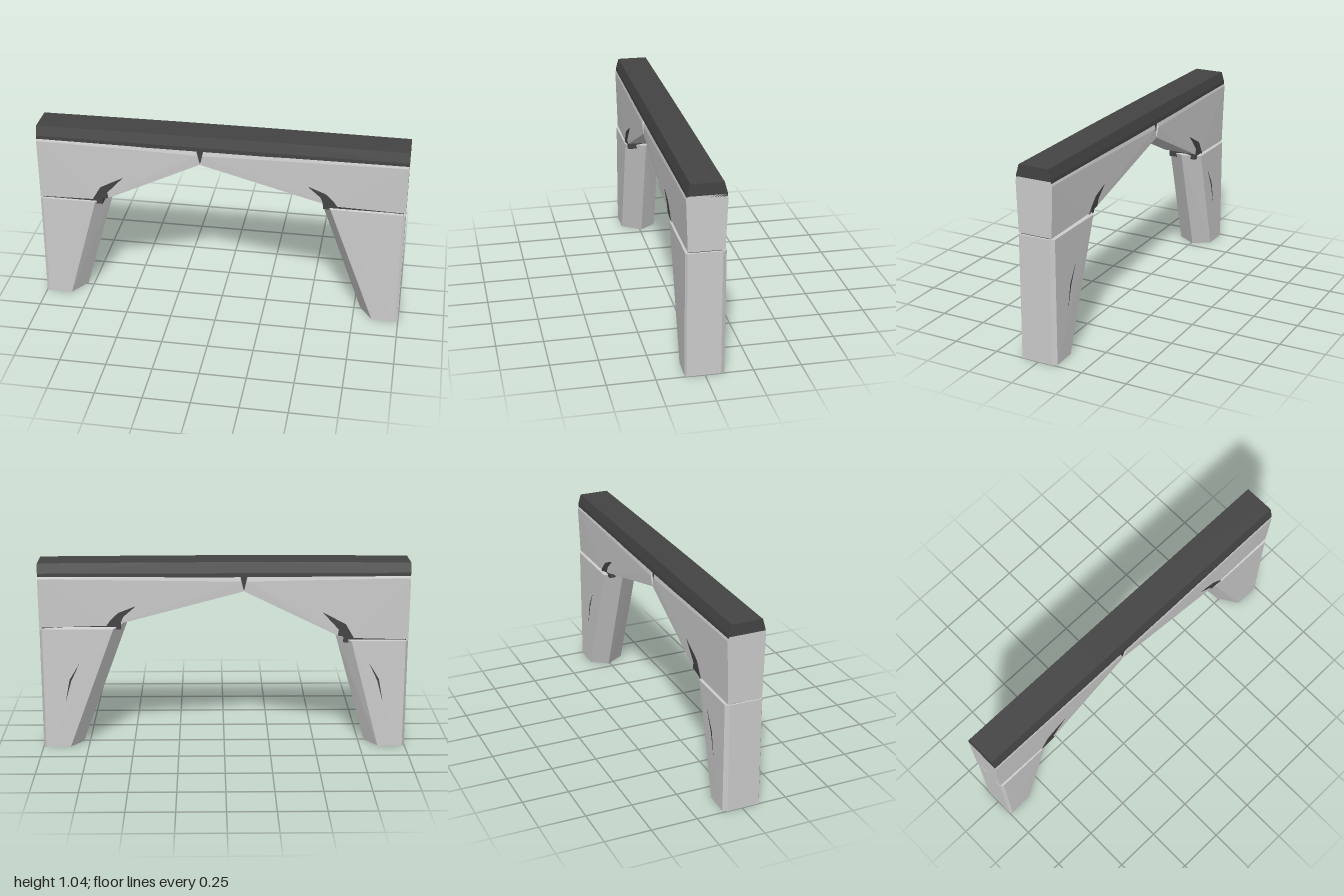
import * as THREE from 'three';
import { ConvexGeometry } from 'three/addons/geometries/ConvexGeometry.js';

const stone = new THREE.MeshStandardMaterial({ color: 0xcccccc, flatShading: true });
const dark = new THREE.MeshStandardMaterial({ color: 0x444444, flatShading: true });

// Faceted block: the convex hull of a few corner points
function block(name, points, material) {
  const mesh = new THREE.Mesh(new ConvexGeometry(points.map(p => new THREE.Vector3(...p))), material);
  mesh.name = name;
  return mesh;
}

// Flat outline in x, y pushed through from zBack to zFront
function plate(name, outline, zBack, zFront) {
  const shape = new THREE.Shape(outline.map(([x, y]) => new THREE.Vector2(x, y)));
  const geo = new THREE.ExtrudeGeometry(shape, { depth: zFront - zBack, bevelEnabled: false });
  geo.translate(0, 0, zBack);
  const mesh = new THREE.Mesh(geo, dark);
  mesh.name = name;
  return mesh;
}

// Leg cross-section: flat outer face, pointed inner edge; s is the side (+1 or -1)
function legRing(s, y, yTip, front, tip, back) {
  return [
    [s, y, 0.094], [s * 0.985, y, 0.103], [s * front, y, 0.1], [s * tip, yTip, -0.01],
    [s * back, y, -0.1], [s * 0.985, y, -0.103], [s, y, -0.082],
  ];
}

function leg(s, top, tipTop, front, tip) {
  return block(s > 0 ? 'leftLeg' : 'rightLeg', [
    ...legRing(s, 0, 0, 0.855, 0.785, 0.85),
    ...legRing(s, top, tipTop, front, tip, front),
  ], stone);
}

// Half of the arch: x, y outline with the half thickness at each corner
function archHalf(name, outline) {
  return block(name, outline.flatMap(([x, y, z]) => [[x, y, z], [x, y, -z]]), stone);
}

export function createModel() {
  const group = new THREE.Group();
  group.name = 'stoneArch';

  // Legs, the left one taller
  group.add(leg(1, 0.676, 0.705, 0.6, 0.525), leg(-1, 0.605, 0.62, 0.69, 0.61));

  // Arch halves meeting at the off-centre peak
  group.add(archHalf('leftArchHalf', [
    [1, 0.684, 0.093], [0.62, 0.696, 0.098], [0.52, 0.718, 0.098], [-0.104, 0.885, 0.1],
    [-0.088, 0.94, 0.103], [-0.085, 0.972, 0.096], [1, 0.955, 0.103], [1, 0.975, 0.096],
  ]));
  group.add(archHalf('rightArchHalf', [
    [-1, 0.612, 0.093], [-0.69, 0.622, 0.098], [-0.61, 0.638, 0.098], [-0.106, 0.885, 0.1],
    [-0.122, 0.94, 0.103], [-0.125, 0.972, 0.096], [-1, 0.955, 0.103], [-1, 0.975, 0.096],
  ]));

  // Dark filling recessed in the joints and in the wedge at the peak
  group.add(plate('leftJoint', [[0.99, 0.66], [0.99, 0.7], [0.56, 0.73], [0.56, 0.67]], -0.08, 0.088));
  group.add(plate('rightJoint', [[-0.99, 0.59], [-0.65, 0.59], [-0.65, 0.65], [-0.99, 0.63]], -0.08, 0.088));
  group.add(plate('peakWedge', [[-0.105, 0.888], [-0.08, 0.975], [-0.13, 0.975]], -0.094, 0.094));

  // Blade-shaped cracks through the arch above each joint
  group.add(plate('leftCrack', [
    [0.64, 0.69], [0.615, 0.725], [0.572, 0.767], [0.476, 0.805], [0.545, 0.745], [0.56, 0.71],
  ].reverse(), -0.1005, 0.1015));
  group.add(plate('rightCrack', [
    [-0.705, 0.618], [-0.657, 0.7], [-0.53, 0.768], [-0.62, 0.67], [-0.615, 0.637],
  ].reverse(), -0.1005, 0.1015));

  // Hairline cracks on the back of the legs
  for (const s of [1, -1]) {
    group.add(plate(s > 0 ? 'leftLegCrack' : 'rightLegCrack',
      [[s * 0.87, 0.26], [s * 0.845, 0.39], [s * 0.79, 0.48], [s * 0.837, 0.38]], -0.1025, -0.09));
  }

  // Dark cap slab with sloping sides
  const cap = [];
  for (const z of [1, -1]) {
    for (const x of [1, -1]) {
      cap.push([x, 0.963, z * 0.099], [x, 0.985, z * 0.098], [x, 1.038, z * 0.083]);
      cap.push([x * 0.27, 1.042, z * 0.083]);
    }
  }
  group.add(block('capSlab', cap, dark));

  return group;
}
